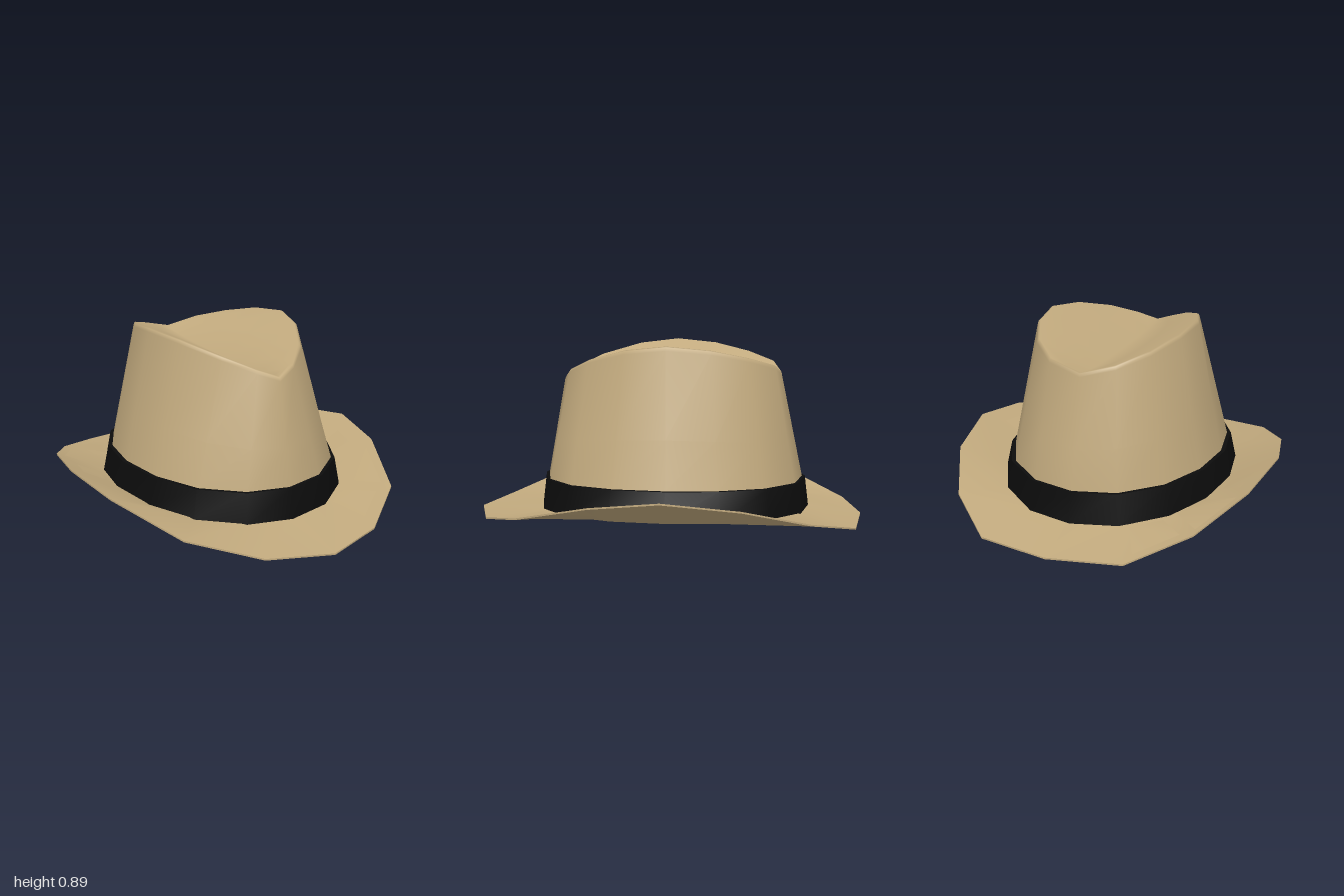
import * as THREE from 'three';
import { mergeVertices, mergeGeometries } from 'three/addons/utils/BufferGeometryUtils.js';

const felt = new THREE.MeshStandardMaterial({ name: 'tan felt', color: 0xc2aa7e, side: THREE.DoubleSide });
const ribbon = new THREE.MeshStandardMaterial({ name: 'black ribbon', color: 0x0c0c0c, side: THREE.DoubleSide });

// Full 16-point ring from nine [x, y, z] points running front to back on the left side
function mirrorRing(half) {
  const other = half.slice(1, -1).reverse().map(([x, y, z]) => [-x, y, z]);
  return [...half, ...other];
}

// Smooth skin through rings, each ring counter-clockwise from above
function loft(halves) {
  const rings = halves.map(mirrorRing);
  const n = rings[0].length;
  const index = [];
  for (let r = 0; r < rings.length - 1; r++) {
    for (let i = 0; i < n; i++) {
      const a = r * n + i, b = r * n + (i + 1) % n;
      index.push(a, b, b + n, a, b + n, a + n);
    }
  }
  let geo = new THREE.BufferGeometry();
  geo.setAttribute('position', new THREE.Float32BufferAttribute(rings.flat(2), 3));
  geo.setIndex(index);
  geo = mergeVertices(geo, 1e-4);
  geo.computeVertexNormals();
  return geo;
}

const CZ = -0.03;
const mix = (a, b, t) => a.map((p, i) => p.map((v, k) => v + (b[i][k] - v) * t));
const drop = (half, d) => half.map(([x, y, z]) => [x, y - d, z]);

// Head oval as [x, z]; heights rise from the ends towards the sides
const oval = [[0, 0.67], [0.23, 0.62], [0.43, 0.47], [0.55, 0.24], [0.59, -0.03],
  [0.55, -0.29], [0.43, -0.52], [0.23, -0.68], [0, -0.73]];
const ovalRing = (sx, sz, yEnd, ySide) => oval.map(([x, z]) =>
  [x * sx, yEnd + (ySide - yEnd) * (x / 0.59) ** 2, CZ + (z - CZ) * sz]);

// Teardrop ridge of the crown and upturned outer edge of the brim
const ridge = [[0, 0.72, 0.52], [0.1, 0.76, 0.48], [0.22, 0.815, 0.37], [0.33, 0.868, 0.18],
  [0.385, 0.89, -0.02], [0.36, 0.87, -0.23], [0.28, 0.83, -0.41], [0.16, 0.787, -0.54], [0, 0.745, -0.575]];
const brimEdge = [[0, 0.01, 1], [0.31, 0.02, 0.9], [0.6, 0.09, 0.68], [0.78, 0.19, 0.3],
  [0.835, 0.23, -0.03], [0.77, 0.185, -0.39], [0.6, 0.09, -0.71], [0.35, 0.015, -0.94], [0, 0.01, -1]];

function makeCrown() {
  const base = ovalRing(0.97, 0.97, 0.05, 0.08);
  const low = ovalRing(0.91, 0.95, 0.2, 0.22);
  const shoulder = ridge.map(([x, y, z]) => [x * 1.04, y - 0.02, z > 0 ? z * 1.045 : z * 1.015]);
  const lip = ridge.map(([x, y, z]) => [x * 1.025, y - 0.004, z > 0 ? z * 1.027 : z * 1.01]);
  // Valley running front to back down the middle of the top
  const valley = ridge.map(([, , z], i) => [0, 0.72 + 0.025 * i / 8 - 0.03 * Math.sin(Math.PI * i / 8), z]);
  const slope = mix(ridge, valley, 0.5);
  return new THREE.Mesh(
    loft([base, low, mix(low, shoulder, 0.36), shoulder, lip, ridge, slope, valley]), felt);
}

function makeBrim() {
  const inner = ovalRing(0.97, 0.97, 0.05, 0.08);
  const under = drop(inner, 0.008);
  const edgeUnder = drop(brimEdge, 0.008);
  // Separate skins keep the rim of the brim sharp
  return new THREE.Mesh(mergeGeometries([
    loft([brimEdge, inner]),
    loft([inner, under, edgeUnder]),
    loft([edgeUnder, brimEdge]),
  ]), felt);
}

function makeBand() {
  const bottom = ovalRing(1, 1, 0.045, 0.085);
  const top = ovalRing(0.945, 0.972, 0.2, 0.22);
  const tuck = ovalRing(0.9, 0.94, 0.2, 0.22);
  return new THREE.Mesh(mergeGeometries([loft([bottom, top]), loft([top, tuck])]), ribbon);
}

export function createModel() {
  const hat = new THREE.Group();
  hat.name = 'hat';
  const parts = { crown: makeCrown(), brim: makeBrim(), hatBand: makeBand() };
  for (const [name, mesh] of Object.entries(parts)) {
    mesh.name = name;
    hat.add(mesh);
  }
  return hat;
}
